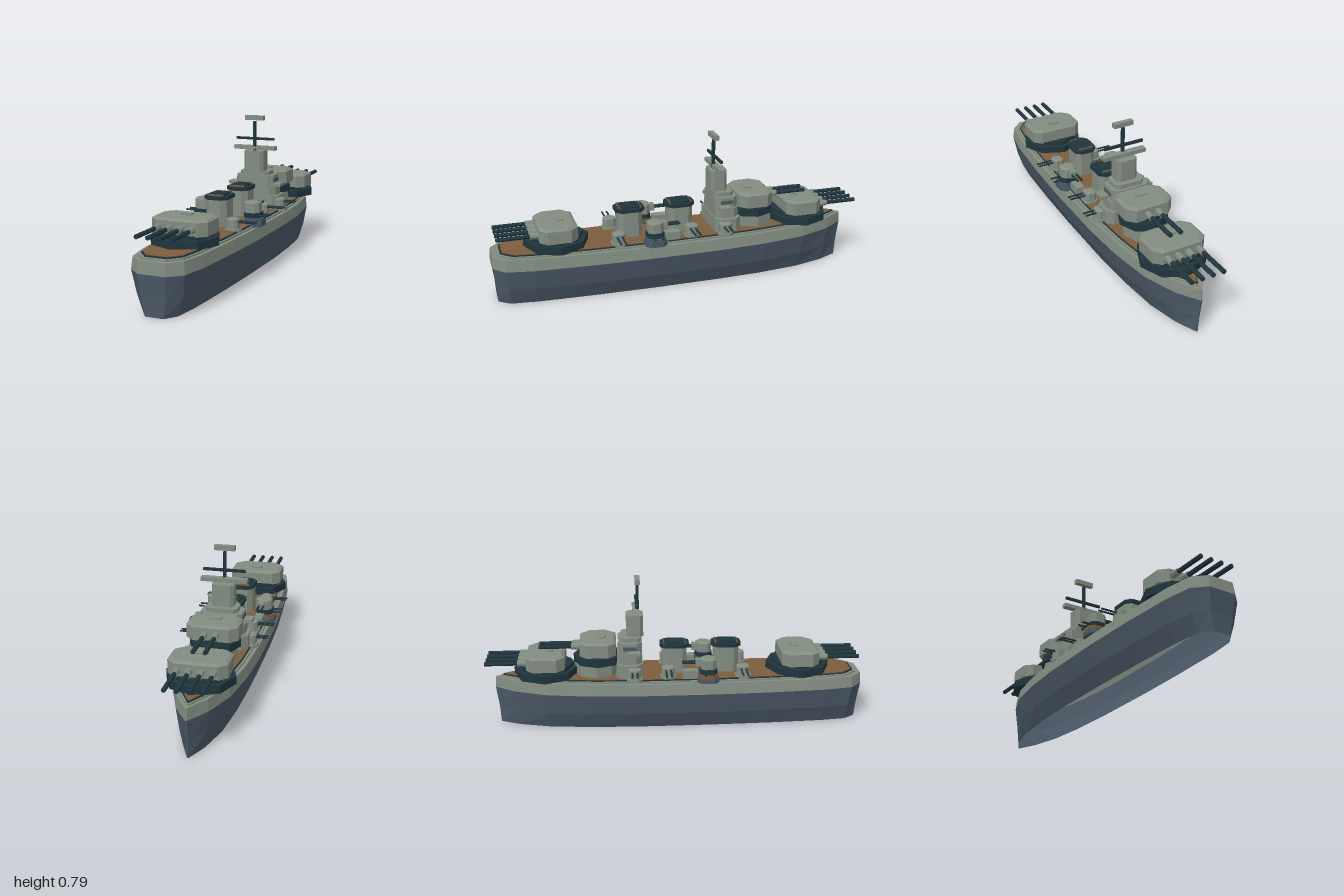
import * as THREE from 'three';

const make = (name, color) => {
  const m = new THREE.MeshStandardMaterial({ color, flatShading: true, side: THREE.DoubleSide });
  m.name = name;
  return m;
};

// Skin a stack of equal-length rings; optional flat caps
function loft(rings, capTop = true, capBottom = true) {
  const pos = [];
  const tri = (a, b, c) => pos.push(...a, ...b, ...c);
  const n = rings[0].length;
  for (let r = 0; r < rings.length - 1; r++) {
    for (let i = 0; i < n; i++) {
      const j = (i + 1) % n, lo = rings[r], up = rings[r + 1];
      tri(lo[i], lo[j], up[j]);
      tri(lo[i], up[j], up[i]);
    }
  }
  const cap = (ring, up) => {
    // Mirrored outline: centre point on the ring's mean
    const c = [0, 1, 2].map(k => ring.reduce((s, p) => s + p[k], 0) / n);
    for (let i = 0; i < n; i++) {
      const a = ring[i], b = ring[(i + 1) % n];
      up ? tri(c, a, b) : tri(c, b, a);
    }
  };
  if (capTop) cap(rings[rings.length - 1], true);
  if (capBottom) cap(rings[0], false);
  const g = new THREE.BufferGeometry();
  g.setAttribute('position', new THREE.Float32BufferAttribute(pos, 3));
  g.computeVertexNormals();
  return g;
}

// Rectangle ring with cut corners
function octRing(w, d, c, y) {
  const x = w / 2, z = d / 2;
  return [[x - c, y, z], [x, y, z - c], [x, y, c - z], [x - c, y, -z],
    [c - x, y, -z], [-x, y, c - z], [-x, y, z - c], [c - x, y, z]];
}

// Hull outline at one level: [half width, z] from stern to bow, mirrored
const STATIONS = [[0.07, 1], [0.135, 0.94], [0.16, 0.8], [0.18, 0.5], [0.19, 0.2],
  [0.19, -0.2], [0.176, -0.45], [0.142, -0.68], [0.078, -0.85], [0.004, -0.96]];
function hullRing(y, ws, zs) {
  const side = STATIONS.map(([x, z]) => [x * ws, y, z * zs]);
  return [...side, ...side.map(([x, , z]) => [-x, y, z]).reverse()];
}

export function createModel() {
  const grey = make('light grey', 0x828c81);
  const dark = make('dark teal', 0x20353d);
  const wood = make('deck brown', 0x7c5c3d);
  const slate = make('hull slate', 0x4b5967);

  const ship = new THREE.Group();
  ship.name = 'battleship';
  const add = (parent, name, geo, mat, x = 0, y = 0, z = 0) => {
    const m = new THREE.Mesh(geo, mat);
    m.name = name;
    m.position.set(x, y, z);
    parent.add(m);
    return m;
  };
  const box = (p, name, mat, w, h, d, x, y, z) =>
    add(p, name, new THREE.BoxGeometry(w, h, d), mat, x, y, z);
  // Cut-corner block from y0 to y1, its roof edge bevelled by t
  const block = (p, name, mat, w, d, c, y0, y1, x, z, t = 0) => {
    const rings = [octRing(w, d, c, y0), octRing(w, d, c, y1 - t)];
    if (t) rings.push(octRing(w - 3 * t, d - 3 * t, c, y1));
    return add(p, name, loft(rings), mat, x, 0, z);
  };
  const drum = (p, name, mat, r, y0, y1, z, x = 0) =>
    add(p, name, new THREE.CylinderGeometry(r, r, y1 - y0, 8), mat, x, (y0 + y1) / 2, z);
  const rodZ = (p, name, mat, r, z0, z1, x, y) =>
    add(p, name, new THREE.CylinderGeometry(r, r, z1 - z0, 8).rotateX(Math.PI / 2), mat, x, y, (z0 + z1) / 2);

  // Hull, open underneath, with stepped deck
  add(ship, 'lowerHull', loft([hullRing(0, 0.66, 0.98), hullRing(0.09, 0.87, 0.985), hullRing(0.2, 1, 1)], false, false), slate);
  add(ship, 'upperHull', loft([hullRing(0.2, 1, 1), hullRing(0.26, 0.95, 0.995)], true, false), grey);
  add(ship, 'deckRim', loft([hullRing(0.259, 0.85, 0.97), hullRing(0.268, 0.85, 0.97)], true, false), grey);
  add(ship, 'deckEdge', loft([hullRing(0.267, 0.79, 0.955), hullRing(0.274, 0.79, 0.955)], true, false), dark);
  add(ship, 'deck', loft([hullRing(0.268, 0.765, 0.945), hullRing(0.277, 0.765, 0.945)], true, false), wood);

  // Main turrets, built facing +z about their own centre
  function turret(name, z, turn, lift, w, d, r, guns) {
    const g = new THREE.Group();
    g.name = name;
    drum(g, 'turretBase', dark, r, 0.272, 0.313, 0);
    drum(g, 'turretRing', dark, r * 0.84, 0.313, 0.33, 0);
    block(g, 'turretHouse', grey, w, d, 0.04, 0.325, 0.402, 0, 0, 0.01);
    block(g, 'roofHatch', grey, 0.06, 0.04, 0.008, 0.4, 0.41, 0, -0.02);
    for (const x of guns) {
      rodZ(g, 'gunCollar', grey, 0.017, d / 2 - 0.02, d / 2 + 0.045, x, 0.36);
      rodZ(g, 'gunBarrel', dark, 0.0115, d / 2, d / 2 + 0.215, x, 0.36);
    }
    g.position.set(0, lift, z);
    g.rotation.y = turn;
    ship.add(g);
  }
  const four = [-0.087, -0.029, 0.029, 0.087];
  turret('sternTurret', 0.66, 0, 0, 0.29, 0.2, 0.17, four);
  turret('bowTurret', -0.685, Math.PI, 0, 0.29, 0.2, 0.17, four);
  turret('raisedTurret', -0.41, Math.PI, 0.068, 0.26, 0.19, 0.13, [-0.029, 0.029]);
  drum(ship, 'raisedTurretBarbette', grey, 0.115, 0.27, 0.345, -0.42);

  // Bridge tower
  block(ship, 'bridgeBase', grey, 0.28, 0.14, 0.03, 0.27, 0.35, 0, -0.245);
  block(ship, 'bridgeMiddle', grey, 0.24, 0.13, 0.03, 0.35, 0.402, 0, -0.245);
  box(ship, 'bridgePlatform', grey, 0.305, 0.017, 0.06, 0, 0.41, -0.22);
  block(ship, 'bridgeUpper', grey, 0.215, 0.125, 0.025, 0.402, 0.46, 0, -0.242);
  block(ship, 'bridgeTop', grey, 0.165, 0.11, 0.02, 0.46, 0.482, 0, -0.235);
  block(ship, 'tower', grey, 0.114, 0.09, 0.017, 0.482, 0.595, 0, -0.215);
  for (const s of [-1, 1]) box(ship, 'bridgeWindow', slate, 0.006, 0.02, 0.07, s * 0.108, 0.433, -0.242);
  box(ship, 'rangefinder', grey, 0.24, 0.021, 0.035, 0, 0.61, -0.208);
  box(ship, 'mast', dark, 0.015, 0.16, 0.015, 0, 0.675, -0.198);
  box(ship, 'mastYard', dark, 0.22, 0.013, 0.013, 0, 0.66, -0.206);
  box(ship, 'mastHead', grey, 0.107, 0.025, 0.026, 0, 0.775, -0.198);

  // Funnels
  for (const z of [0.27, -0.005]) {
    block(ship, 'funnel', grey, 0.112, 0.13, 0.025, 0.27, 0.418, 0, z);
    block(ship, 'funnelCap', dark, 0.125, 0.155, 0.03, 0.415, 0.433, 0, z);
    block(ship, 'funnelMouth', dark, 0.084, 0.11, 0.015, 0.433, 0.441, 0, z);
    for (const s of [-1, 1]) box(ship, 'funnelTrim', wood, 0.084, 0.008, 0.006, 0, 0.437, z + s * 0.056);
  }

  // Side guns, mirrored to both sides
  for (const s of [-1, 1]) {
    const sideGuns = (z, gap, x0) => {
      for (const k of [-1, 1]) {
        const b = rodZ(ship, 'sideGunBarrel', dark, 0.005, 0, 0.23 - x0, s * (0.23 + x0) / 2, 0.32);
        b.rotation.y = Math.PI / 2;
        b.position.z = z + k * gap;
      }
    };
    for (const [z, x] of [[0.352, 0.112], [-0.043, 0.112], [-0.22, 0.14]]) {
      block(ship, 'sideGunFoot', grey, 0.075, 0.08, 0.018, 0.268, 0.285, s * x, z);
      block(ship, 'sideGunHouse', grey, 0.06, 0.066, 0.014, 0.285, 0.338, s * x, z, 0.006);
      sideGuns(z, 0.013, x);
    }
    // Midship stacked mount
    block(ship, 'sponson', slate, 0.1, 0.115, 0.025, 0.263, 0.287, s * 0.147, 0.165);
    block(ship, 'sponsonDeck', s < 0 ? wood : slate, 0.095, 0.1, 0.022, 0.287, 0.307, s * 0.15, 0.165);
    block(ship, 'sponsonRing', dark, 0.085, 0.09, 0.02, 0.307, 0.333, s * 0.143, 0.165);
    block(ship, 'midshipGunHouse', grey, 0.085, 0.08, 0.02, 0.333, 0.39, s * 0.137, 0.165, 0.007);
    sideGuns(0.165, 0.02, 0.15);
    box(ship, 'midshipGunMantlet', grey, 0.04, 0.035, 0.03, s * 0.13, 0.362, 0.113);
    for (const k of [-1, 1]) rodZ(ship, 'midshipGunBarrel', dark, 0.006, 0.03, 0.11, s * 0.13 + k * 0.012, 0.362);
    box(ship, 'deckLocker', grey, 0.045, 0.045, 0.08, s * 0.125, 0.295, 0.07);
  }
  return ship;
}
